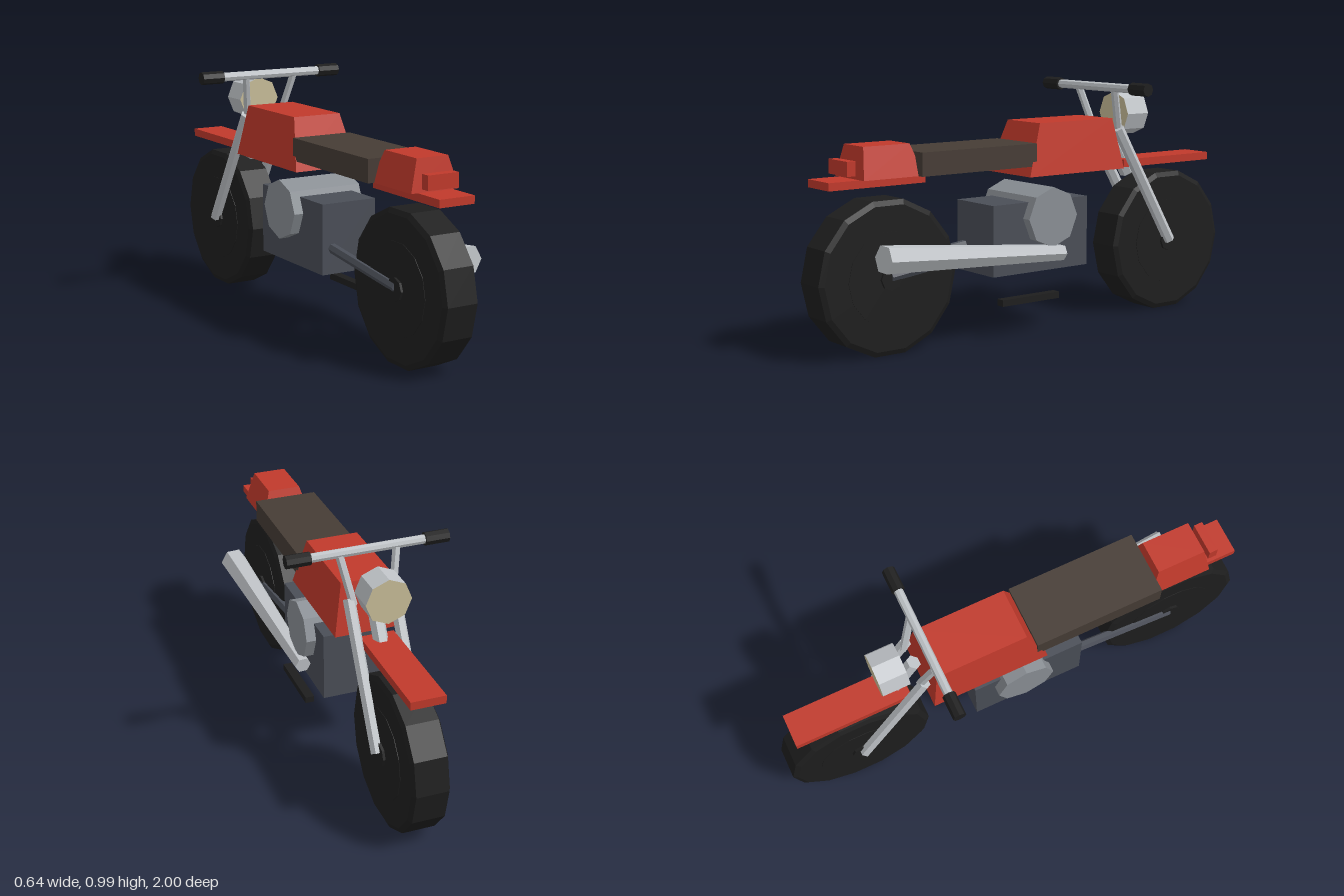
import * as THREE from 'three';

const mat = (name, color) => {
  const m = new THREE.MeshStandardMaterial({ color, flatShading: true });
  m.name = name;
  return m;
};

export function createModel() {
  const red = mat('red paint', 0xc0392b);
  const seatBrown = mat('seat brown', 0x463c35);
  const rubber = mat('black rubber', 0x1e1e1e);
  const chrome = mat('chrome', 0xbfc3c7);
  const engineGrey = mat('engine grey', 0x4a4e57);
  const steel = mat('steel grey', 0x8a8f95);
  const lens = mat('lens cream', 0xc8bd98);

  const model = new THREE.Group();
  model.name = 'motorcycle';

  const add = (name, geometry, material) => {
    const mesh = new THREE.Mesh(geometry, material);
    mesh.name = name;
    model.add(mesh);
    return mesh;
  };

  // Box given by its limits on each axis
  const box = (name, material, [x0, x1], [y0, y1], [z0, z1]) =>
    add(name, new THREE.BoxGeometry(x1 - x0, y1 - y0, z1 - z0)
      .translate((x0 + x1) / 2, (y0 + y1) / 2, (z0 + z1) / 2), material);

  // Box whose top is narrower and shorter than its bottom
  const taperedBox = (name, material, [y0, y1], bottom, top) => {
    const g = new THREE.BoxGeometry(2, 2, 2);
    const p = g.attributes.position;
    for (let i = 0; i < p.count; i++) {
      const high = p.getY(i) > 0;
      const s = high ? top : bottom;
      p.setXYZ(i, p.getX(i) * s.halfX, high ? y1 : y0, p.getZ(i) > 0 ? s.z1 : s.z0);
    }
    g.computeVertexNormals();
    return add(name, g, material);
  };

  // Straight bar between two points
  const rod = (name, material, a, b, r0, r1 = r0, sides = 6) => {
    const from = new THREE.Vector3(...a);
    const to = new THREE.Vector3(...b);
    const g = new THREE.CylinderGeometry(r1, r0, from.distanceTo(to), sides);
    g.rotateY(Math.PI / 2);
    const mesh = add(name, g, material);
    mesh.position.copy(from).add(to).multiplyScalar(0.5);
    mesh.quaternion.setFromUnitVectors(new THREE.Vector3(0, 1, 0), to.sub(from).normalize());
    return mesh;
  };

  // Cylinder lying across the bike
  const cross = (name, material, r, halfX, y, z, sides, x = 0) =>
    add(name, new THREE.CylinderGeometry(r, r, halfX * 2, sides)
      .rotateZ(Math.PI / 2).translate(x, y, z), material);

  // Wheels: chamfered tyre, flat disc and hub
  const wheelY = 0.293;
  const tyreProfile = [[0, -0.074], [0.28, -0.074], [0.3, -0.064], [0.3, 0.064], [0.28, 0.074], [0, 0.074]]
    .map(([r, y]) => new THREE.Vector2(r, y));
  for (const [end, z] of [['front', -0.7], ['rear', 0.7]]) {
    add(end + 'Tyre', new THREE.LatheGeometry(tyreProfile, 14)
      .rotateZ(Math.PI / 2).translate(0, wheelY, z), rubber);
    cross(end + 'WheelDisc', rubber, 0.18, 0.076, wheelY, z, 14);
    cross(end + 'Hub', rubber, 0.045, 0.086, wheelY, z, 8);
  }

  // Engine
  box('engineBlock', engineGrey, [-0.12, 0.12], [0.25, 0.53], [-0.21, 0.26]);
  cross('engineCylinder', steel, 0.12, 0.16, 0.467, -0.005, 8);

  // Bodywork
  taperedBox('fuelTank', red, [0.63, 0.835],
    { halfX: 0.14, z0: -0.39, z1: 0.095 }, { halfX: 0.105, z0: -0.355, z1: 0.02 });
  box('seat', seatBrown, [-0.13, 0.13], [0.67, 0.76], [0.055, 0.59]);
  taperedBox('tail', red, [0.67, 0.79],
    { halfX: 0.103, z0: 0.565, z1: 0.825 }, { halfX: 0.068, z0: 0.605, z1: 0.805 });
  box('rearFender', red, [-0.075, 0.075], [0.64, 0.67], [0.54, 0.955]);
  box('tailLight', red, [-0.066, 0.066], [0.685, 0.74], [0.837, 0.873]);
  box('frontFender', red, [-0.068, 0.068], [0.623, 0.655], [-0.935, -0.455]);

  // Paired bars on both sides
  for (const [side, s] of [['left', 1], ['right', -1]]) {
    rod(side + 'Fork', chrome, [s * 0.09, 0.295, -0.695], [s * 0.09, 0.79, -0.4], 0.024);
    rod(side + 'Riser', chrome, [s * 0.077, 0.77, -0.415], [s * 0.112, 0.95, -0.36], 0.016);
    rod(side + 'SwingArm', engineGrey, [s * 0.075, 0.3, 0.7], [s * 0.075, 0.36, 0.2], 0.02);
    cross(side + 'Grip', rubber, 0.026, 0.0475, 0.96, -0.355, 8, s * 0.2725);
  }
  rod('steeringColumn', chrome, [0, 0.59, -0.53], [0, 0.8, -0.405], 0.03);
  cross('handlebar', chrome, 0.018, 0.3, 0.96, -0.355, 8);

  // Headlight with a lens on each end
  add('headlight', new THREE.CylinderGeometry(0.09, 0.09, 0.112, 8)
    .rotateX(Math.PI / 2).translate(0, 0.845, -0.51), [chrome, lens, lens]);

  // Exhaust and footrest on the left
  rod('exhaust', chrome, [0.152, 0.32, -0.055], [0.18, 0.39, 0.795], 0.033, 0.056);
  box('footrest', rubber, [0.104, 0.141], [0.134, 0.16], [-0.05, 0.23]);

  return model;
}
